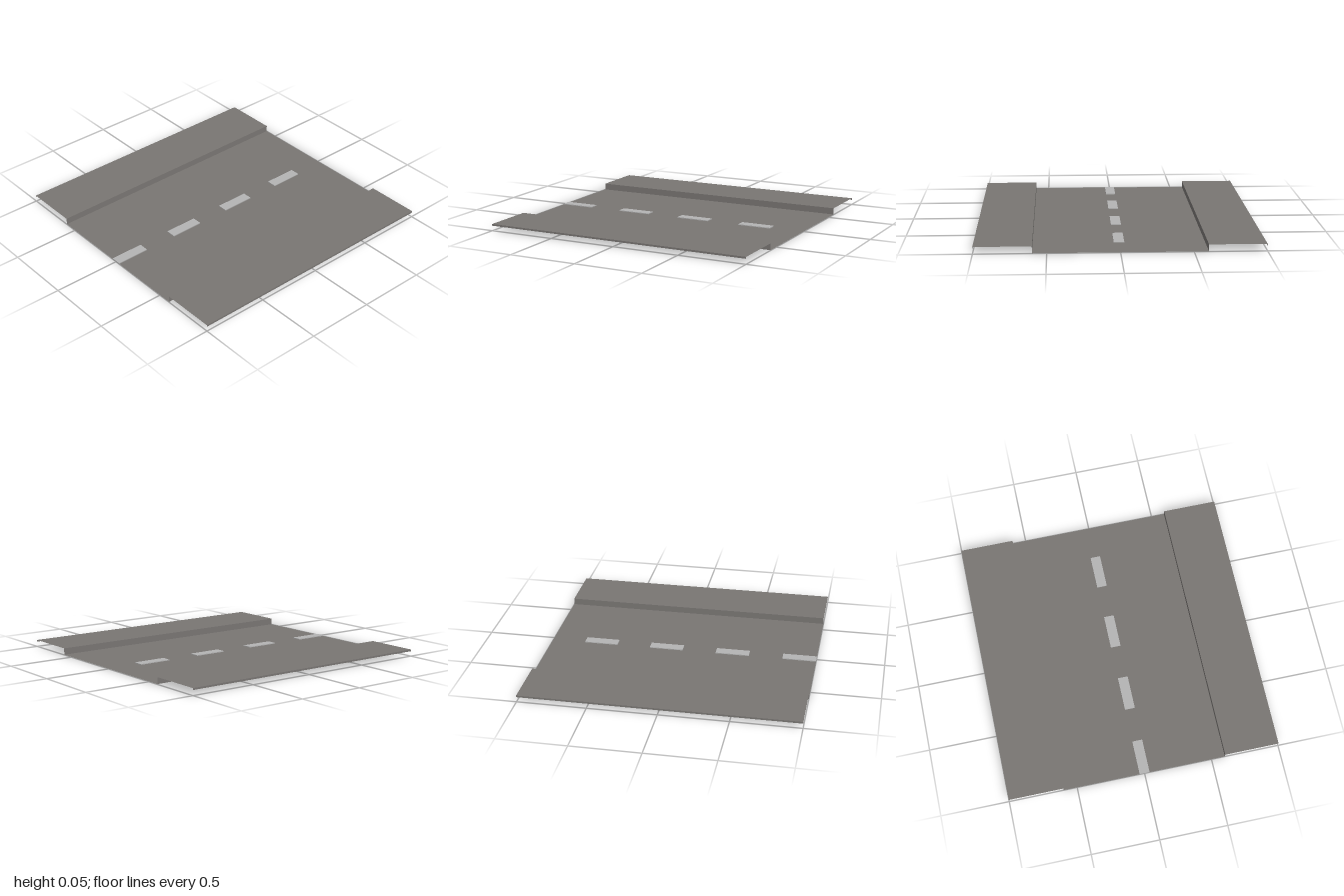
import * as THREE from 'three';

const ROAD_Y = 0.002, TOP_Y = 0.05, LIP_Y = 0.037, CURB_Z = 0.6, EDGE_Z = 1;

// Open sheet running along x, between two points of the (z, y) cross-section
function strip(name, [z0, y0], [z1, y1], material) {
  const geometry = new THREE.BufferGeometry();
  geometry.setAttribute('position', new THREE.Float32BufferAttribute(
    [-1, y0, z0, 1, y0, z0, 1, y1, z1, -1, y1, z1], 3));
  geometry.setIndex([0, 2, 1, 0, 3, 2]);
  geometry.computeVertexNormals();
  const mesh = new THREE.Mesh(geometry, material);
  mesh.name = name;
  return mesh;
}

export function createModel() {
  const asphalt = new THREE.MeshStandardMaterial({ color: 0x797673, side: THREE.DoubleSide });
  asphalt.name = 'asphalt grey';
  const paint = new THREE.MeshStandardMaterial({ color: 0xb4b4b4 });
  paint.name = 'lane paint';

  const model = new THREE.Group();
  model.name = 'roadSection';

  // Carriageway
  model.add(strip('carriageway', [-CURB_Z, ROAD_Y], [CURB_Z, ROAD_Y], asphalt));

  // Raised pavements with curb and outer lip, listed from back to front
  for (const [side, s] of [['front', 1], ['back', -1]]) {
    const pavement = new THREE.Group();
    pavement.name = side + 'Pavement';
    const parts = [
      ['Curb', [CURB_Z, ROAD_Y], [CURB_Z, TOP_Y]],
      ['Walkway', [CURB_Z, TOP_Y], [EDGE_Z, TOP_Y]],
      ['OuterLip', [EDGE_Z, TOP_Y], [EDGE_Z, LIP_Y]],
    ];
    for (const [part, a, b] of parts) {
      const ends = [[s * a[0], a[1]], [s * b[0], b[1]]];
      if (s < 0) ends.reverse();
      pavement.add(strip(side + part, ends[0], ends[1], asphalt));
    }
    model.add(pavement);
  }

  // Dashed centre line
  const dash = new THREE.BoxGeometry(0.25, 0.008, 0.074);
  for (let i = 0; i < 4; i++) {
    const mesh = new THREE.Mesh(dash, paint);
    mesh.name = 'laneDash' + (i + 1);
    mesh.position.set(-0.875 + i * 0.5, 0.004, 0);
    model.add(mesh);
  }
  return model;
}
